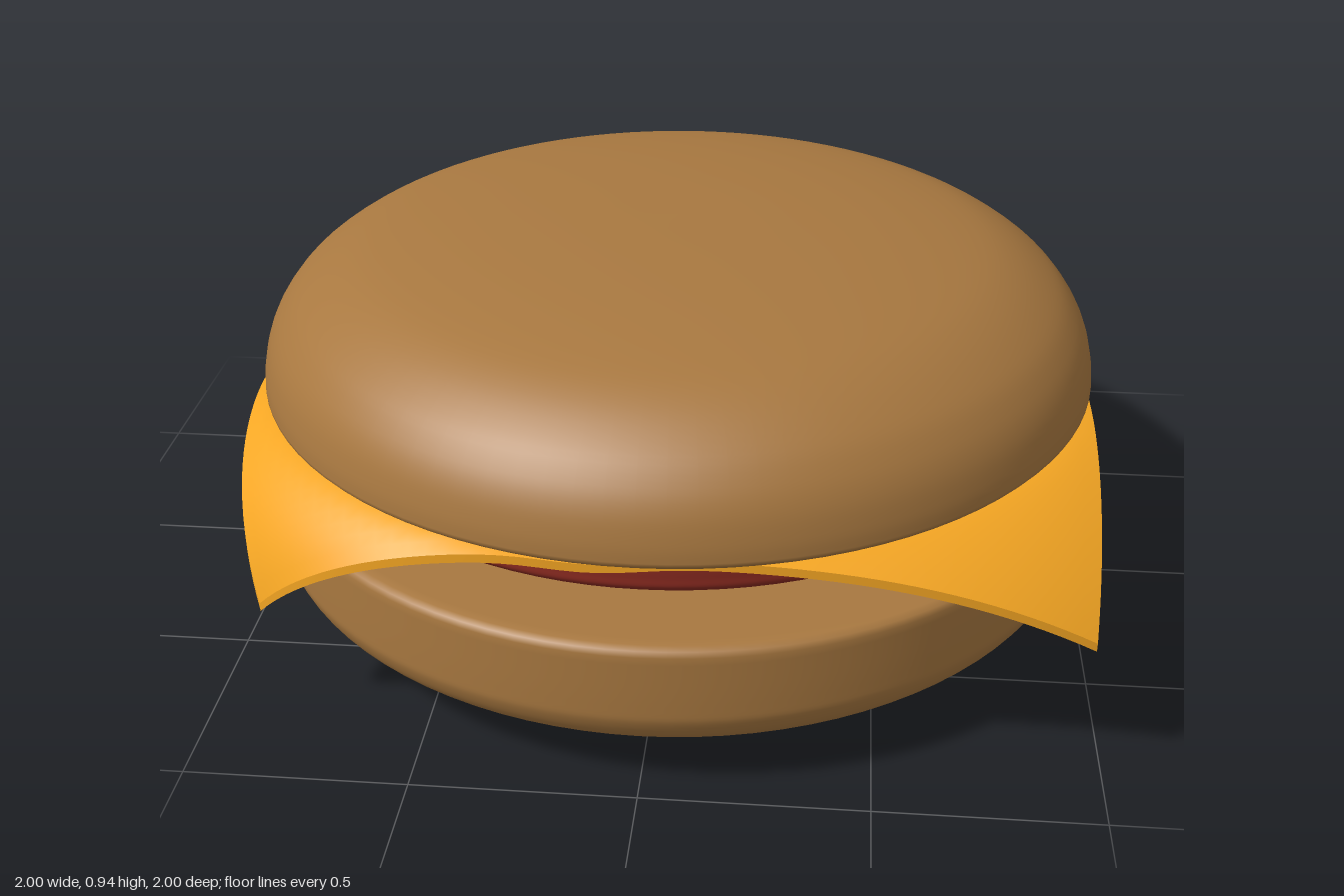
import * as THREE from 'three';

const material = (color) => new THREE.MeshStandardMaterial({ color });

// Round solid from a profile of [radius, height]: smooth curve, then sharp straight points
function lathe(name, mat, lower, curve, upper) {
  const v = (list) => list.map(([r, y]) => new THREE.Vector2(r, y));
  const smooth = new THREE.SplineCurve(v(curve)).getPoints(40);
  const points = [...v(lower), ...smooth, ...v(upper)];
  points.forEach((p) => { p.x = Math.max(p.x, 0); });
  const mesh = new THREE.Mesh(new THREE.LatheGeometry(points, 96), mat);
  mesh.name = name;
  return mesh;
}

// Square slice whose four corners hang down and pull inwards
function cheeseSlice() {
  const corners = {
    '1,1': [0.955, 0.86, 0.21], '1,-1': [0.945, -0.82, 0.21],
    '-1,1': [-0.86, 0.78, 0.27], '-1,-1': [-0.86, -0.85, 0.28],
  };
  const geo = new THREE.BoxGeometry(2, 0.02, 2, 48, 1, 48);
  const pos = geo.attributes.position;
  for (let i = 0; i < pos.count; i++) {
    const u = pos.getX(i), v = pos.getZ(i);
    const [cx, cz, drop] = corners[`${u < 0 ? -1 : 1},${v < 0 ? -1 : 1}`];
    const t = Math.max(0, (Math.hypot(u, v) - 1) / (Math.SQRT2 - 1));
    const x = u * 0.99, z = v * 0.945;
    const pull = Math.pow(t, 1.3);
    // small ripple in the middle of each edge
    const sag = 0.02 * (Math.pow(Math.abs(v), 12) * Math.exp(-Math.pow((u + 0.1) / 0.15, 2))
      + Math.pow(Math.abs(u), 12) * Math.exp(-Math.pow(v / 0.2, 2)));
    pos.setXYZ(i,
      x + (Math.abs(cx) - 0.99) * u * pull,
      0.562 + pos.getY(i) - drop * Math.pow(t, 1.45) - sag,
      z + (Math.abs(cz) - 0.945) * v * pull);
  }
  geo.computeVertexNormals();
  const mesh = new THREE.Mesh(geo, material(0xf5a623));
  mesh.name = 'cheeseSlice';
  return mesh;
}

export function createModel() {
  const group = new THREE.Group();
  group.name = 'burger';
  const bread = material(0xa87840);

  // Bottom bun: rounded underside, flat top
  group.add(lathe('bottomBun', bread, [[0, 0]],
    [[0.2, 0.002], [0.45, 0.014], [0.65, 0.033], [0.8, 0.06], [0.9, 0.095], [0.965, 0.14], [0.995, 0.19], [1, 0.24], [1, 0.365]],
    [[0.995, 0.378], [0.98, 0.384], [0.96, 0.385], [0, 0.385]]));

  // Patty: rounded lower edge
  group.add(lathe('patty', material(0x8a2a20), [[0, 0.386]],
    [[0.35, 0.388], [0.6, 0.398], [0.75, 0.413], [0.84, 0.434], [0.885, 0.46], [0.89, 0.49], [0.89, 0.535]],
    [[0.885, 0.546], [0.87, 0.55], [0, 0.55]]));

  group.add(cheeseSlice());

  // Top bun: flat base, domed crown
  group.add(lathe('topBun', bread, [[0, 0.578], [0.975, 0.578], [0.993, 0.58]],
    [[1, 0.588], [0.996, 0.63], [0.98, 0.69], [0.95, 0.745], [0.9, 0.8], [0.81, 0.857], [0.7, 0.893], [0.5, 0.922], [0.25, 0.938], [0, 0.942]],
    []));

  return group;
}
